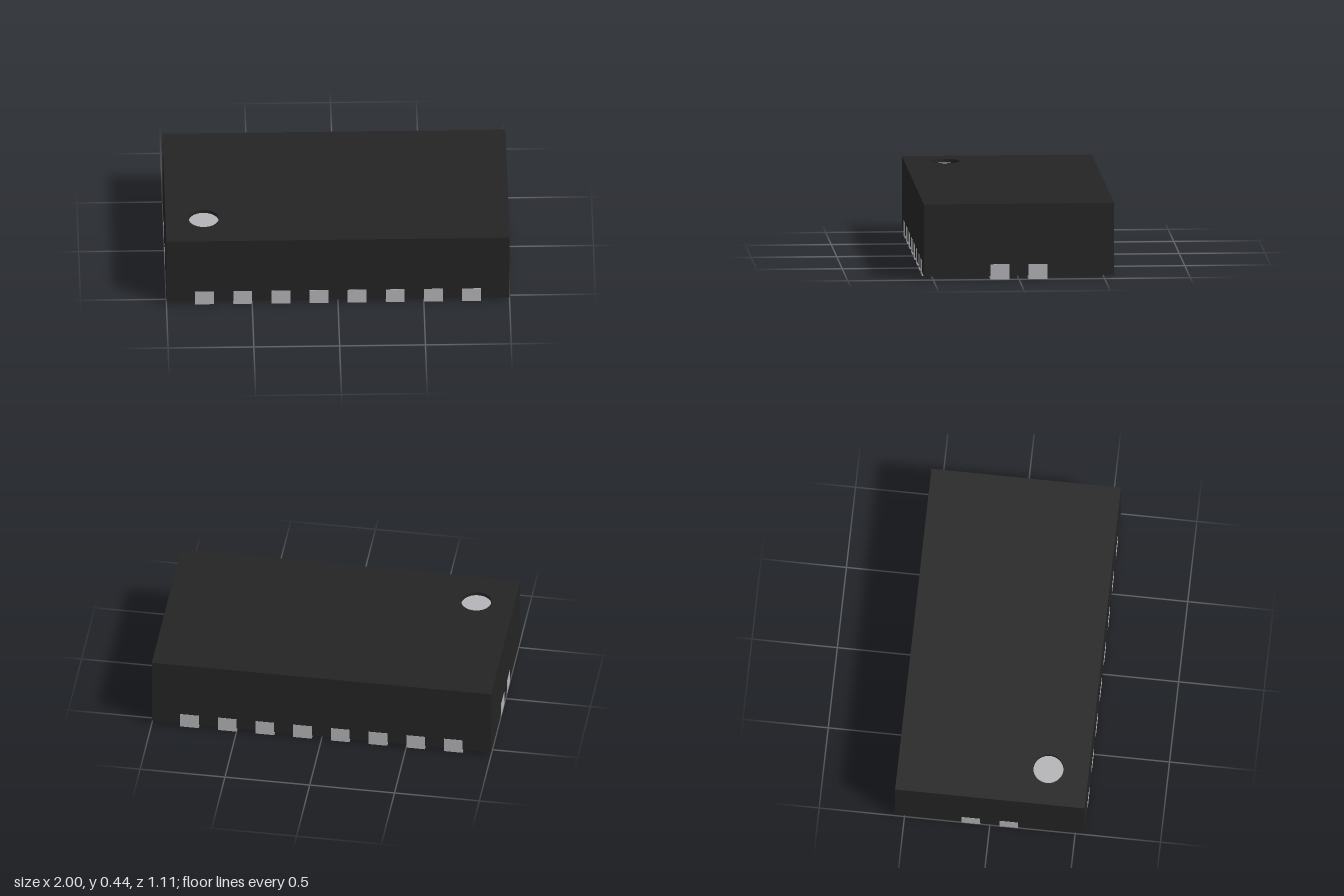
import * as THREE from 'three';

const W = 1, D = 0.555, H = 0.445;      // half width, half depth, total height
const STANDOFF = 0.022, RECESS = 0.022; // pad thickness, marker depth
const PITCH = 0.2222, LEAD_W = 0.11, LEAD_L = 0.175, LEAD_H = 0.09;

const rectangle = (w, d) => new THREE.Shape([
  new THREE.Vector2(-w, -d), new THREE.Vector2(w, -d),
  new THREE.Vector2(w, d), new THREE.Vector2(-w, d),
]);

// Extrudes a plan outline (x, -z) upwards from y0 to y1
function slab(shape, y0, y1) {
  const g = new THREE.ExtrudeGeometry(shape, { depth: y1 - y0, bevelEnabled: false, curveSegments: 24 });
  return g.rotateX(-Math.PI / 2).translate(0, y0, 0);
}

export function createModel() {
  const black = new THREE.MeshStandardMaterial({ color: 0x252424 });
  black.name = 'black plastic';
  const metal = new THREE.MeshStandardMaterial({ color: 0xb4b3b7 });
  metal.name = 'grey metal';

  const model = new THREE.Group();
  model.name = 'chipPackage';
  const add = (name, geometry, material, parent = model) => {
    const mesh = new THREE.Mesh(geometry, material);
    mesh.name = name;
    parent.add(mesh);
    return mesh;
  };

  // Body, with a round recess in its top layer
  const markX = -0.778, markZ = 0.32, markR = 0.088;
  add('body', slab(rectangle(W, D), STANDOFF, H - RECESS), black);
  const top = rectangle(W, D);
  top.holes.push(new THREE.Path().absarc(markX, -markZ, markR, 0, Math.PI * 2, true));
  add('bodyTop', slab(top, H - RECESS, H), black);

  // Pin one marker on the floor of the recess
  const marker = new THREE.CircleGeometry(markR, 48).rotateX(-Math.PI / 2);
  add('pinOneMarker', marker, metal).position.set(markX, H - RECESS + 0.001, markZ);

  // Thermal pad with one chamfered corner
  const px = 0.667, pz = 0.222, c = 0.133;
  const pad = new THREE.Shape([
    [-px + c, -pz], [px, -pz], [px, pz], [-px, pz], [-px, -pz + c],
  ].map(([x, y]) => new THREE.Vector2(x, y)));
  add('thermalPad', slab(pad, 0, STANDOFF), metal);

  // Lead: foot with a rounded inner end, and a short upright flush with the wall
  const r = LEAD_W / 2;
  const foot = new THREE.Shape();
  foot.moveTo(-r, 0);
  foot.lineTo(r, 0);
  foot.lineTo(r, LEAD_L - r);
  foot.absarc(0, LEAD_L - r, r, 0, Math.PI, false);
  foot.closePath();
  const footGeometry = slab(foot, 0, STANDOFF);
  const uprightGeometry = new THREE.BoxGeometry(LEAD_W, LEAD_H, 0.04).translate(0, LEAD_H / 2, -0.019);

  function addLead(x, z, turn) {
    const lead = new THREE.Group();
    lead.name = 'lead';
    add('leadFoot', footGeometry, metal, lead);
    add('leadUpright', uprightGeometry, metal, lead);
    lead.position.set(x, 0, z);
    lead.rotation.y = turn;
    model.add(lead);
  }

  // Eight leads along each long side, two along each short side
  for (let i = 0; i < 8; i++) {
    const x = (i - 3.5) * PITCH;
    addLead(x, D, 0);
    addLead(x, -D, Math.PI);
  }
  for (const z of [-PITCH / 2, PITCH / 2]) {
    addLead(W, z, Math.PI / 2);
    addLead(-W, z, -Math.PI / 2);
  }
  return model;
}
